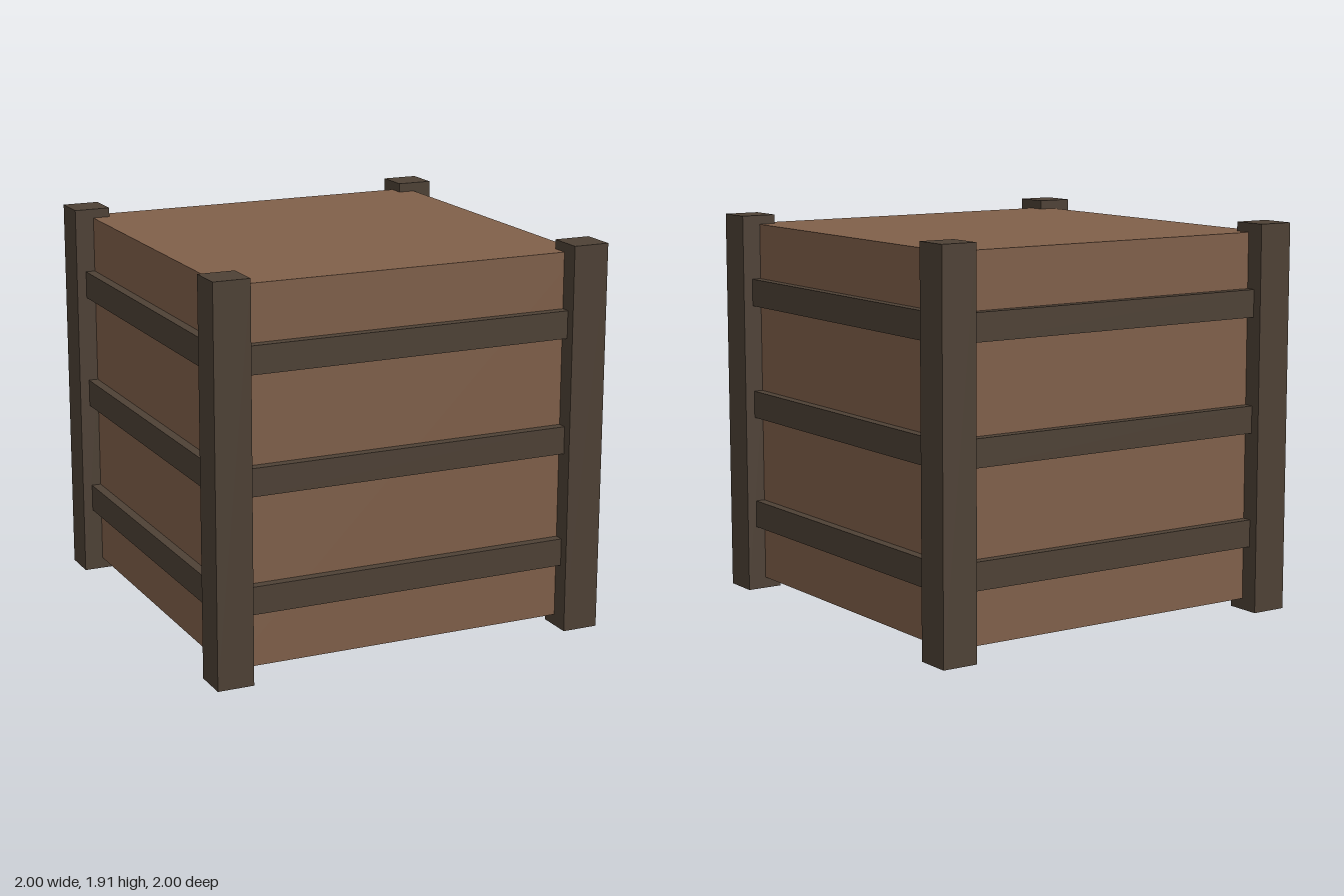
import * as THREE from 'three';

export function createModel() {
  const group = new THREE.Group();
  const plank = new THREE.MeshStandardMaterial({ color: 0x80604a });
  plank.name = 'brown wood';
  const frame = new THREE.MeshStandardMaterial({ color: 0x4e4135 });
  frame.name = 'dark wood';

  const box = (name, material, w, h, d, x, y, z, parent = group) => {
    const mesh = new THREE.Mesh(new THREE.BoxGeometry(w, h, d), material);
    mesh.name = name;
    mesh.position.set(x, y, z);
    parent.add(mesh);
    return mesh;
  };

  // Closed crate body, raised slightly off the ground
  box('crateBody', plank, 1.81, 1.81, 1.81, 0, 0.96, 0);

  // Corner posts
  for (const x of [-0.91, 0.91]) {
    for (const z of [-0.91, 0.91]) box('cornerPost', frame, 0.18, 1.91, 0.18, x, 0.955, z);
  }

  // Three rails on each of the four sides, running between the posts
  for (let i = 0; i < 4; i++) {
    const side = new THREE.Group();
    side.name = 'sideRails';
    side.rotation.y = (i * Math.PI) / 2;
    for (const y of [0.392, 0.957, 1.525]) box('rail', frame, 1.64, 0.135, 0.06, 0, y, 0.922, side);
    group.add(side);
  }

  return group;
}
